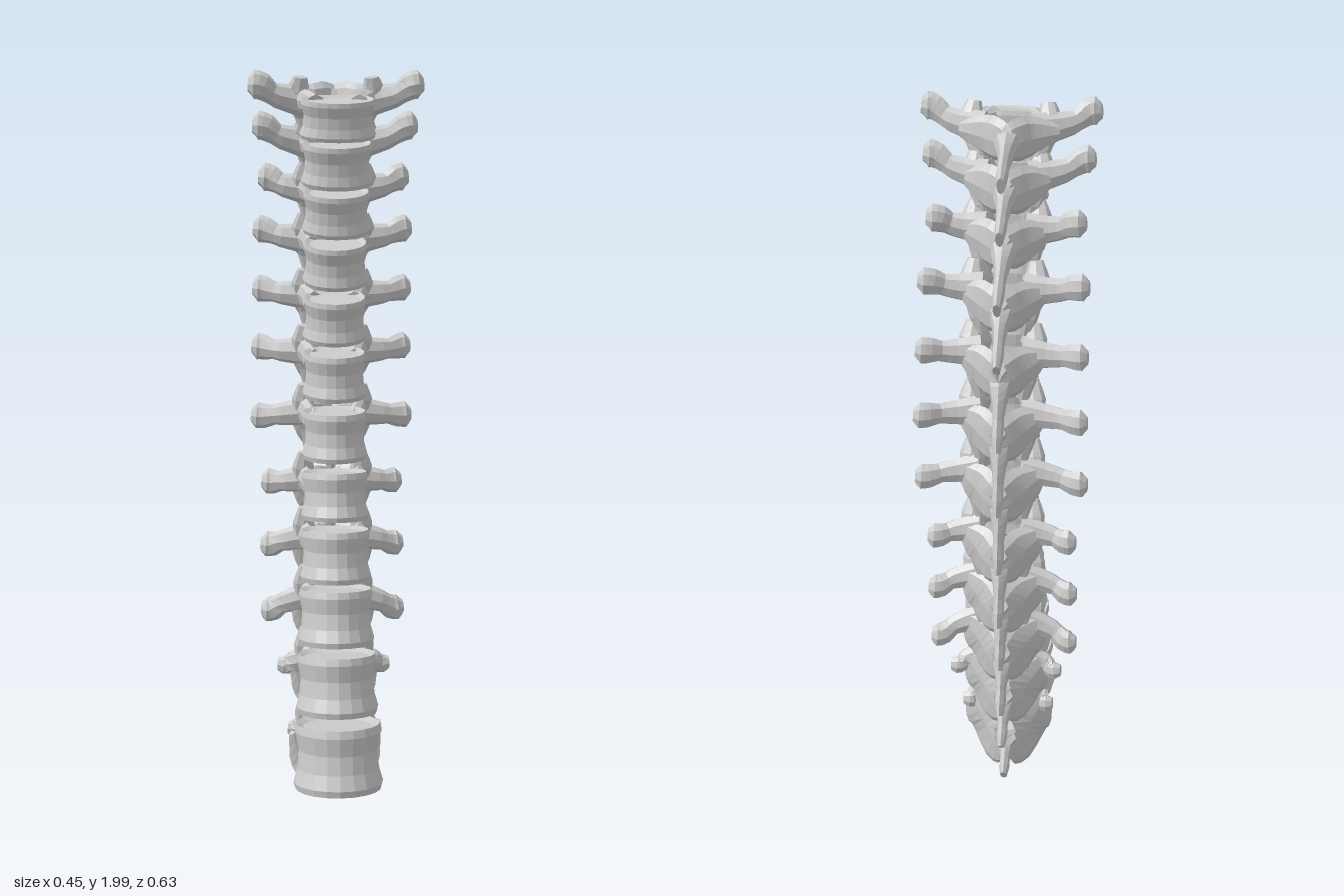
import * as THREE from 'three';

const V = (x, y, z) => new THREE.Vector3(x, y, z);
const material = new THREE.MeshStandardMaterial({ color: 0xcccccc, flatShading: true });

// One row per vertebra, top to bottom:
// body front z, y | body back z, y | body height | side wing tip x, y, z | rear spine tip y, z
const VERTEBRAE = [
  [0.215, 1.87, 0.095, 1.895, 0.097, 0.215, 1.963, 0.065, 1.862, -0.19],
  [0.185, 1.755, 0.05, 1.785, 0.108, 0.205, 1.86, 0.01, 1.74, -0.22],
  [0.15, 1.63, 0.01, 1.665, 0.108, 0.19, 1.725, -0.07, 1.585, -0.285],
  [0.11, 1.495, -0.05, 1.53, 0.11, 0.205, 1.585, -0.135, 1.43, -0.295],
  [0.08, 1.35, -0.09, 1.375, 0.114, 0.208, 1.42, -0.185, 1.2, -0.295],
  [0.08, 1.205, -0.11, 1.215, 0.12, 0.212, 1.255, -0.22, 1.015, -0.295],
  [0.09, 1.05, -0.11, 1.045, 0.128, 0.215, 1.065, -0.2, 0.835, -0.285],
  [0.12, 0.90, -0.10, 0.87, 0.128, 0.188, 0.88, -0.19, 0.665, -0.285],
  [0.14, 0.74, -0.08, 0.71, 0.138, 0.192, 0.705, -0.17, 0.505, -0.255],
  [0.185, 0.585, -0.05, 0.545, 0.148, 0.192, 0.525, -0.14, 0.34, -0.245],
  [0.24, 0.415, 0.0, 0.375, 0.158, 0.148, 0.38, -0.08, 0.2, -0.21],
  [0.30, 0.23, 0.06, 0.195, 0.175, 0.122, 0.215, -0.02, 0.043, -0.145],
];

// Skin a list of equal rings and close both ends
function loft(rings) {
  const n = rings[0].length, last = rings.length - 1;
  const pos = rings.flat().flatMap((p) => [p.x, p.y, p.z]);
  const idx = [];
  for (let r = 0; r < last; r++) {
    for (let i = 0; i < n; i++) {
      const a = r * n + i, b = r * n + (i + 1) % n;
      idx.push(a, b, b + n, a, b + n, a + n);
    }
  }
  for (const end of [0, last]) {
    const c = rings[end].reduce((s, p) => s.add(p), V(0, 0, 0)).divideScalar(n);
    const ci = pos.length / 3;
    pos.push(c.x, c.y, c.z);
    for (let i = 0; i < n; i++) {
      const a = end * n + i, b = end * n + (i + 1) % n;
      if (end) idx.push(ci, a, b); else idx.push(ci, b, a);
    }
  }
  const g = new THREE.BufferGeometry();
  g.setAttribute('position', new THREE.Float32BufferAttribute(pos, 3));
  g.setIndex(idx);
  g.computeVertexNormals();
  return g;
}

// Bony limb: elliptical sections along a smooth path; radii = [along ref, across ref]
function limb(points, radii, ref, steps = 8, sides = 8) {
  const curve = new THREE.CatmullRomCurve3(points);
  const rings = [];
  for (let s = 0; s <= steps; s++) {
    const t = s / steps, p = curve.getPoint(t), tan = curve.getTangent(t);
    const u = ref.clone().addScaledVector(tan, -ref.dot(tan)).normalize();
    const v = tan.clone().cross(u);
    const f = t * (radii.length - 1), k = Math.min(Math.floor(f), radii.length - 2);
    const ru = THREE.MathUtils.lerp(radii[k][0], radii[k + 1][0], f - k);
    const rv = THREE.MathUtils.lerp(radii[k][1], radii[k + 1][1], f - k);
    rings.push(Array.from({ length: sides }, (_, i) => {
      const a = (i / sides) * Math.PI * 2;
      return p.clone().addScaledVector(u, ru * Math.cos(a)).addScaledVector(v, rv * Math.sin(a));
    }));
  }
  return loft(rings);
}

// Waisted drum with a rim at each end plate and a hollowed back
function bodyGeometry(w, d, h) {
  const profile = [[-0.45, 0.8], [-0.5, 0.96], [-0.4, 1], [-0.18, 0.91], [0.1, 0.88],
    [0.38, 0.96], [0.5, 0.93], [0.44, 0.78]];
  const sides = 20;
  return loft(profile.map(([y, k]) => Array.from({ length: sides }, (_, i) => {
    const a = (i / sides) * Math.PI * 2, s = Math.sin(a);
    const back = 1 - 0.22 * Math.max(0, s) ** 4;
    return V(w * k * Math.cos(a), h * y, -d * k * s * back);
  })));
}

function createVertebra(row, i) {
  const [fz, fy, bz, by, h, tx, ty, tz, sy, sz] = row;
  const g = new THREE.Group();
  const add = (name, geometry) => {
    const m = new THREE.Mesh(geometry, material);
    m.name = name;
    g.add(m);
    return m;
  };
  const up = V(0, 1, 0), side = V(1, 0, 0);

  // Body, tilted along the line from its back to its front
  const w = 0.085 + 0.035 * ((i - 4) / 7) ** 2;
  const body = add('vertebralBody', bodyGeometry(w, Math.hypot(fz - bz, fy - by) * 0.52, h));
  body.position.set(0, (fy + by) / 2, (fz + bz) / 2);
  body.rotation.x = Math.atan2(by - fy, fz - bz);

  // Centre of the articular pillar, and the root of the rear spine, lower down the column
  const px = i === 0 ? 0.095 : 0.08;
  const py = by + (i > 6 ? 0.26 : 0.36) * h, pz = bz - 0.05;
  const rootY = py - (0.1 + 0.06 * i) * h, rootZ = bz - 0.11;

  for (const s of [1, -1]) {
    const label = s > 0 ? 'left' : 'right';
    // Pedicle joining body and arch
    add(label + 'Pedicle', limb(
      [V(s * 0.055, by + 0.16 * h, bz + 0.05), V(s * 0.066, py - 0.01, bz), V(s * px, py, pz - 0.01)],
      [[0.32 * h, 0.026], [0.28 * h, 0.018], [0.3 * h, 0.022]], up, 5));
    // Articular pillar with upper and lower facets
    add(label + 'ArticularPillar', limb(
      [V(s * px * 0.95, py + 0.55 * h, pz + 0.018), V(s * px, py + 0.1 * h, pz),
        V(s * px * 0.78, py - 0.5 * h, pz - 0.025), V(s * px * 0.65, py - 1.08 * h, pz - 0.03)],
      [[0.018, 0.01], [0.03, 0.021], [0.03, 0.022], [0.027, 0.02], [0.017, 0.012]], side));
    // Side wing with a knobbed tip, its root spreading into the arch
    const k = i > 9 ? 0.75 : 1;
    const mid = V(s * (px + tx) / 2, (py + ty) / 2 - 0.007, (pz + tz) / 2);
    add(label + 'TransverseWing', limb(
      [V(s * px * 0.7, py - 0.008, pz - 0.01), mid, V(s * (tx - 0.02), ty, tz + 0.003),
        V(s * (tx + 0.007), ty + 0.002, tz)],
      [[0.046, 0.032], [0.035, 0.025], [0.028, 0.021], [0.035 * k, 0.025 * k], [0.037 * k, 0.027 * k], [0.018, 0.014]],
      up, 10));
    // Broad lamina sweeping back to the midline
    add(label + 'Lamina', limb(
      [V(s * px * 1.25, py - 0.08 * h, pz - 0.018), V(s * 0.053, (py + rootY) / 2 - 0.08 * h, pz - 0.042),
        V(s * 0.02, rootY - 0.05 * h, rootZ - 0.01), V(-s * 0.006, rootY - 0.15 * h, rootZ - 0.03)],
      [[0.22 * h, 0.015], [0.5 * h, 0.021], [0.58 * h, 0.021], [0.56 * h, 0.018], [0.4 * h, 0.014]], up, 10));
  }

  // Rear spine: wide root narrowing to a thin deep blade with a blunt tip
  const toTip = (t) => V(0, THREE.MathUtils.lerp(rootY, sy, t), THREE.MathUtils.lerp(rootZ + 0.008, sz, t));
  add('rearSpine', limb(
    [toTip(0), toTip(0.33), toTip(0.66), toTip(1)],
    [[0.042, 0.036], [0.03, 0.04], [0.019, 0.036], [0.014, 0.031], [0.015, 0.031], [0.01, 0.024]], side, 10));
  return g;
}

export function createModel() {
  const model = new THREE.Group();
  model.name = 'thoracicSpine';
  VERTEBRAE.forEach((row, i) => {
    const v = createVertebra(row, i);
    v.name = 'vertebra' + (i + 1);
    model.add(v);
  });
  return model;
}
